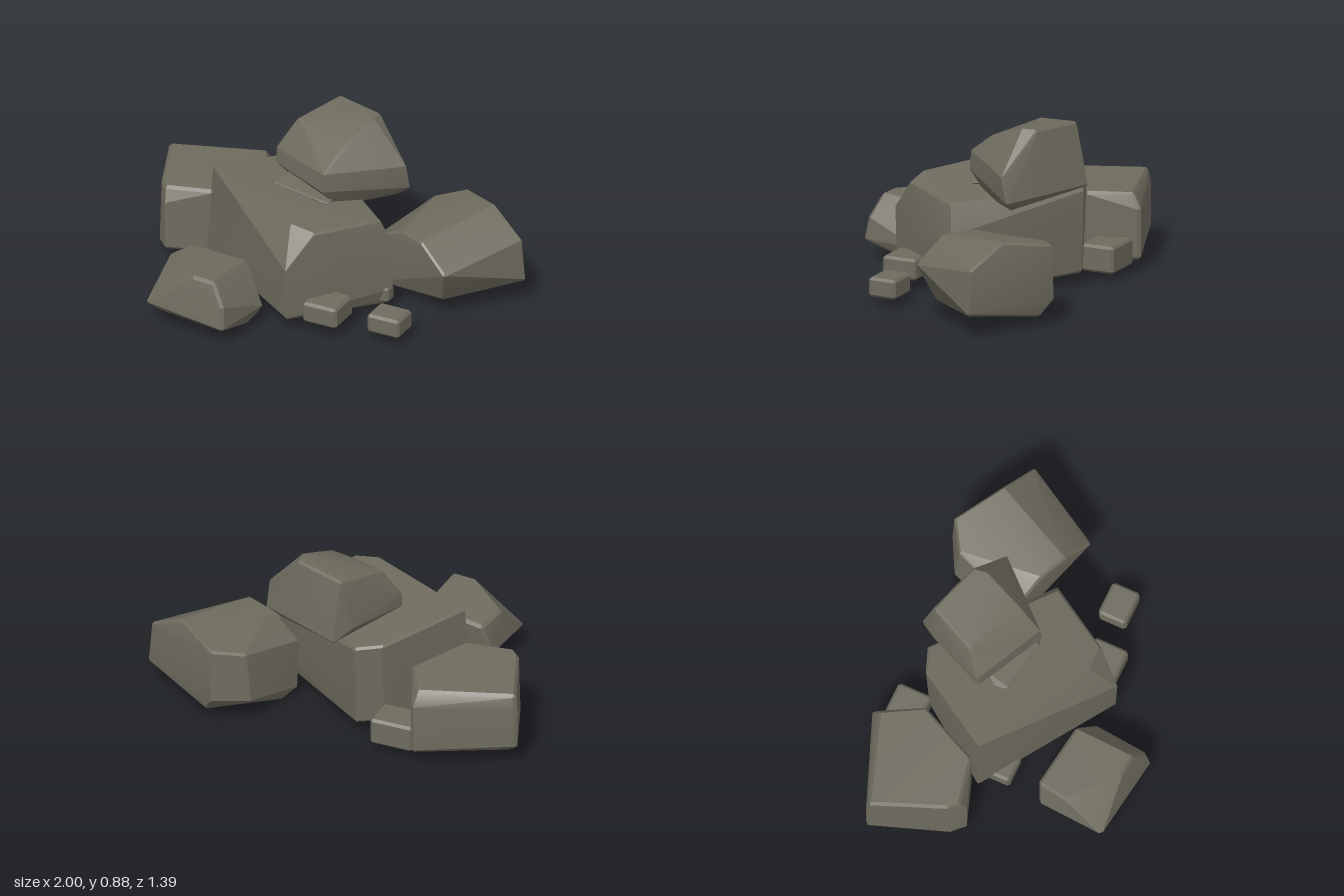
import * as THREE from 'three';
import { toCreasedNormals } from 'three/addons/utils/BufferGeometryUtils.js';
import { ConvexGeometry } from 'three/addons/geometries/ConvexGeometry.js';

// Hull of the corner points with softly chamfered edges; overall extents are kept.
function chamferedHull(corners, r) {
  const pts = corners.map((c) => new THREE.Vector3(...c));
  const box = new THREE.Box3().setFromPoints(pts);
  const mid = box.getCenter(new THREE.Vector3());
  const half = box.getSize(new THREE.Vector3()).multiplyScalar(0.5);
  const cloud = [];
  for (const p of pts) {
    const q = p.clone().sub(mid);
    for (const a of ['x', 'y', 'z']) q[a] *= (half[a] - r) / half[a];
    q.add(mid);
    for (const a of ['x', 'y', 'z']) {
      for (const s of [-r, r]) {
        const v = q.clone();
        v[a] += s;
        cloud.push(v);
      }
    }
  }
  return toCreasedNormals(new ConvexGeometry(cloud), 0.3);
}

// Eight corners of a block given by its min and max.
function block([x0, y0, z0], [x1, y1, z1]) {
  const out = [];
  for (const x of [x0, x1]) for (const y of [y0, y1]) for (const z of [z0, z1]) out.push([x, y, z]);
  return out;
}

export function createModel() {
  const group = new THREE.Group();
  const stone = new THREE.MeshStandardMaterial({ color: 0x6e6b5e });
  stone.name = 'stone';

  const add = (name, corners, r) => {
    const mesh = new THREE.Mesh(chamferedHull(corners, r), stone);
    mesh.name = name;
    group.add(mesh);
  };

  // Central boulder
  add('mainBoulder', [
    [-0.54, 0.58, -0.05], [-0.57, 0.1, -0.04], [-0.55, 0.07, -0.06],
    [0.2, 0.53, 0.28], [0.07, 0.55, 0.28], [0.11, 0.36, 0.41], [0.11, 0.08, 0.4], [0.1, 0.06, 0.36],
    [0.4, 0.5, -0.05], [0.455, 0.36, -0.08], [0.455, 0.11, -0.07], [0.42, 0.03, -0.07],
    [-0.15, 0.5, -0.51], [-0.28, 0.52, -0.46], [-0.15, 0.07, -0.5], [-0.28, 0.08, -0.44],
  ], 0.012);

  // Right rear boulder
  add('rightRearBoulder', [
    [-0.99, 0.4, -0.44], [-1, 0.33, -0.45], [-1, 0.1, -0.45], [-0.95, 0.06, -0.42],
    [-0.52, 0.4, -0.6], [-0.51, 0.33, -0.64], [-0.51, 0.06, -0.64],
    [-0.41, 0.41, -0.4], [-0.4, 0.07, -0.4],
    [-0.56, 0.41, -0.08], [-0.56, 0.06, -0.08],
    [-0.8, 0.4, -0.03], [-0.79, 0.33, 0], [-0.79, 0.06, 0], [-0.84, 0.4, -0.07], [-0.84, 0.06, -0.05],
  ], 0.015);

  // Left rear boulder
  add('leftRearBoulder', [
    [0.79, 0.46, -0.53], [0.6, 0.4, -0.1], [0.45, 0.4, -0.17],
    [0.98, 0.35, -0.45], [1, 0.125, -0.45], [0.76, 0.28, -0.04], [0.71, 0.1, -0.12],
    [0.55, 0.41, -0.69], [0.41, 0.38, -0.6], [0.55, 0.13, -0.7], [0.38, 0.12, -0.61],
    [0.6, 0.05, -0.65], [0.28, 0.3, -0.23], [0.28, 0.03, -0.25], [0.32, 0, -0.33],
  ], 0.012);

  // Boulder resting on top
  add('topBoulder', [
    [0.21, 0.88, -0.35], [0.14, 0.8, -0.14], [0.1, 0.7, -0.01], [0.1, 0.6, 0],
    [0.395, 0.67, -0.33], [0.4, 0.53, -0.36], [0.12, 0.48, -0.1], [0.34, 0.49, -0.35],
    [-0.26, 0.68, -0.19], [-0.26, 0.6, -0.18], [-0.21, 0.56, -0.19], [-0.18, 0.83, -0.26],
    [-0.07, 0.87, -0.51], [0.2, 0.88, -0.42], [-0.06, 0.55, -0.58], [-0.12, 0.6, -0.5],
  ], 0.012);

  // Thin slab pinched beneath the top boulder
  add('wedgeSlab', [
    [-0.22, 0.53, -0.1], [-0.18, 0.58, -0.16], [-0.2, 0.56, -0.05],
    [0.08, 0.55, 0], [0.12, 0.53, -0.02], [0.12, 0.56, -0.16], [-0.05, 0.53, -0.2],
  ], 0.006);

  // Low boulder in front
  add('frontBoulder', [
    [-0.5, 0.29, 0.26], [-0.16, 0.31, 0.31], [-0.18, 0.33, 0.63], [-0.3, 0.33, 0.62], [-0.53, 0.31, 0.42],
    [-0.56, 0.12, 0.63], [-0.1, 0.1, 0.69], [-0.045, 0.1, 0.36], [-0.54, 0.13, 0.28],
    [-0.11, 0.22, 0.67], [-0.5, 0.08, 0.6], [-0.08, 0.035, 0.45], [-0.08, 0.04, 0.35], [-0.5, 0.08, 0.32],
  ], 0.015);

  // Scattered pebbles
  const pebbles = [
    [[0.49, 0.05, 0.125], [0.67, 0.15, 0.275]],
    [[0.17, 0.065, 0.17], [0.36, 0.175, 0.355]],
    [[-0.5, 0.04, -0.61], [-0.27, 0.18, -0.43]],
    [[-0.5, 0.04, -0.06], [-0.35, 0.13, 0.1]],
    [[0.36, 0.05, -0.1], [0.45, 0.135, -0.03]],
  ];
  pebbles.forEach(([lo, hi], i) => add(`pebble${i + 1}`, block(lo, hi), 0.013));

  return group;
}
